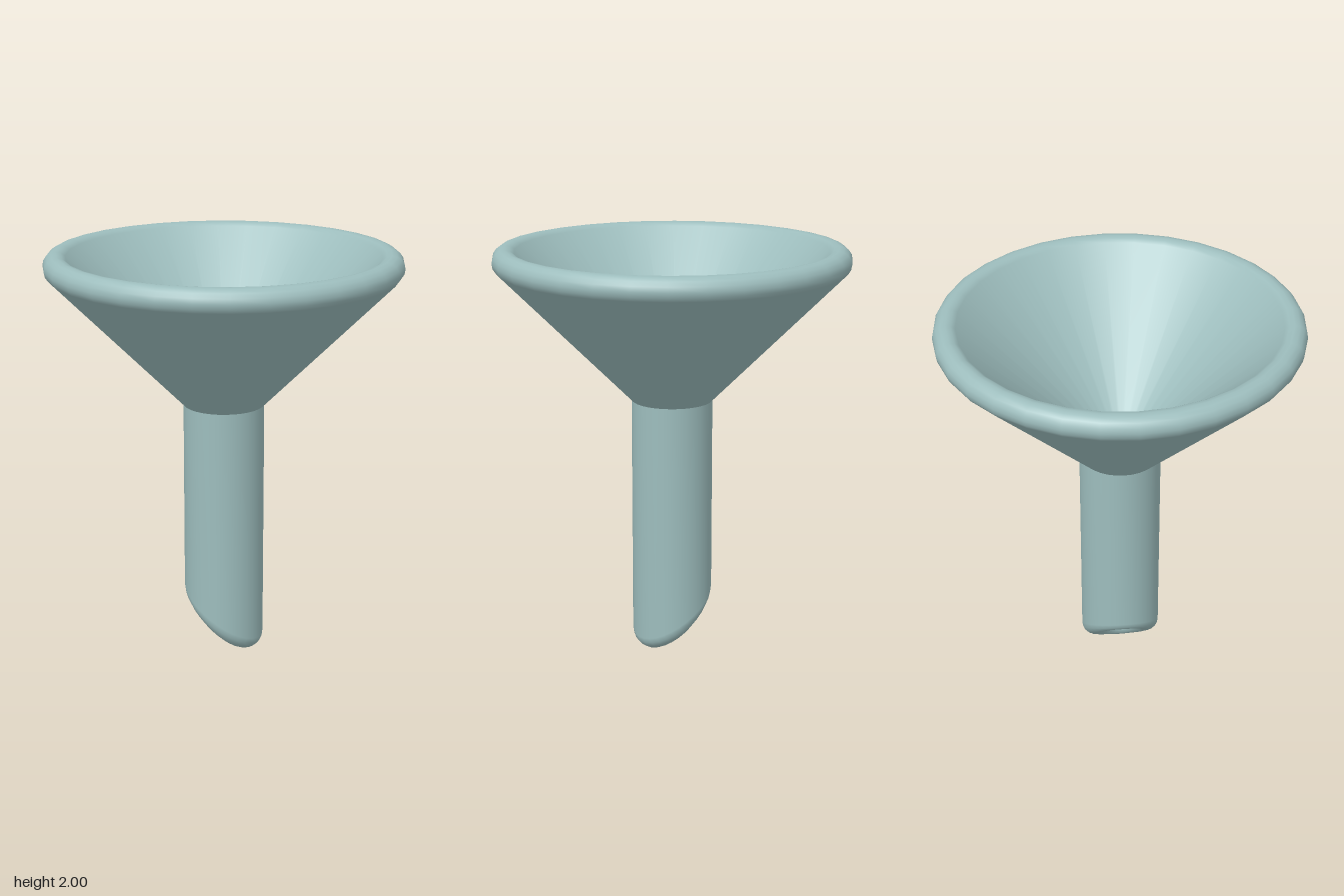
import * as THREE from 'three';
import { mergeVertices } from 'three/addons/utils/BufferGeometryUtils.js';

const SIDES = 32;
const WALL = 0.0625;            // half the wall thickness, also the lip radius
const INNER = 0.07, OUTER = 0.195, MID = (INNER + OUTER) / 2;

// Points of a round lip, from one angle to another
function arc(cx, cy, from, to, steps = 8) {
  return Array.from({ length: steps + 1 }, (_, i) => {
    const a = from + (to - from) * i / steps;
    return new THREE.Vector2(cx + WALL * Math.cos(a), cy + WALL * Math.sin(a));
  });
}

// Weld the lathe seam and shade it smoothly
function smooth(geometry) {
  geometry.deleteAttribute('uv');
  geometry.deleteAttribute('normal');
  const welded = mergeVertices(geometry, 1e-5);
  welded.computeVertexNormals();
  return welded;
}

// Cone with a thick wall and a rounded rim
function bellGeometry() {
  const profile = [
    new THREE.Vector2(OUTER, 1.255),
    ...arc(0.7875, 1.9375, -Math.PI / 4, Math.PI * 3 / 4),
    new THREE.Vector2(INNER, 1.307),
  ];
  return smooth(new THREE.LatheGeometry(profile, SIDES));
}

// Thick tube whose rounded end follows a 45 degree cut
function spoutGeometry() {
  const profile = [
    new THREE.Vector2(INNER, 1.307),
    ...arc(MID, 0, Math.PI, Math.PI * 2),
    new THREE.Vector2(OUTER, 1.255),
  ];
  const geometry = new THREE.LatheGeometry(profile, SIDES);
  const pos = geometry.attributes.position;
  for (let i = 0; i < pos.count; i++) {
    const x = pos.getX(i), y = pos.getY(i), z = pos.getZ(i);
    if (y > 0.5) continue;
    // Lip sections stand square to the slanted edge
    const r = Math.hypot(x, z), c = x / r, s = z / r;
    const depth = -y / Math.sqrt(1 + s * s);
    const edge = WALL + MID * (1 - c);
    pos.setXYZ(i, x - s * s * depth, edge - depth, z + s * c * depth);
  }
  return smooth(geometry);
}

export function createModel() {
  const group = new THREE.Group();
  group.name = 'funnel';
  const material = new THREE.MeshStandardMaterial({ color: 0x9dbdbd });

  const bell = new THREE.Mesh(bellGeometry(), material);
  bell.name = 'bell';
  const spout = new THREE.Mesh(spoutGeometry(), material);
  spout.name = 'spout';

  group.add(bell, spout);
  return group;
}
